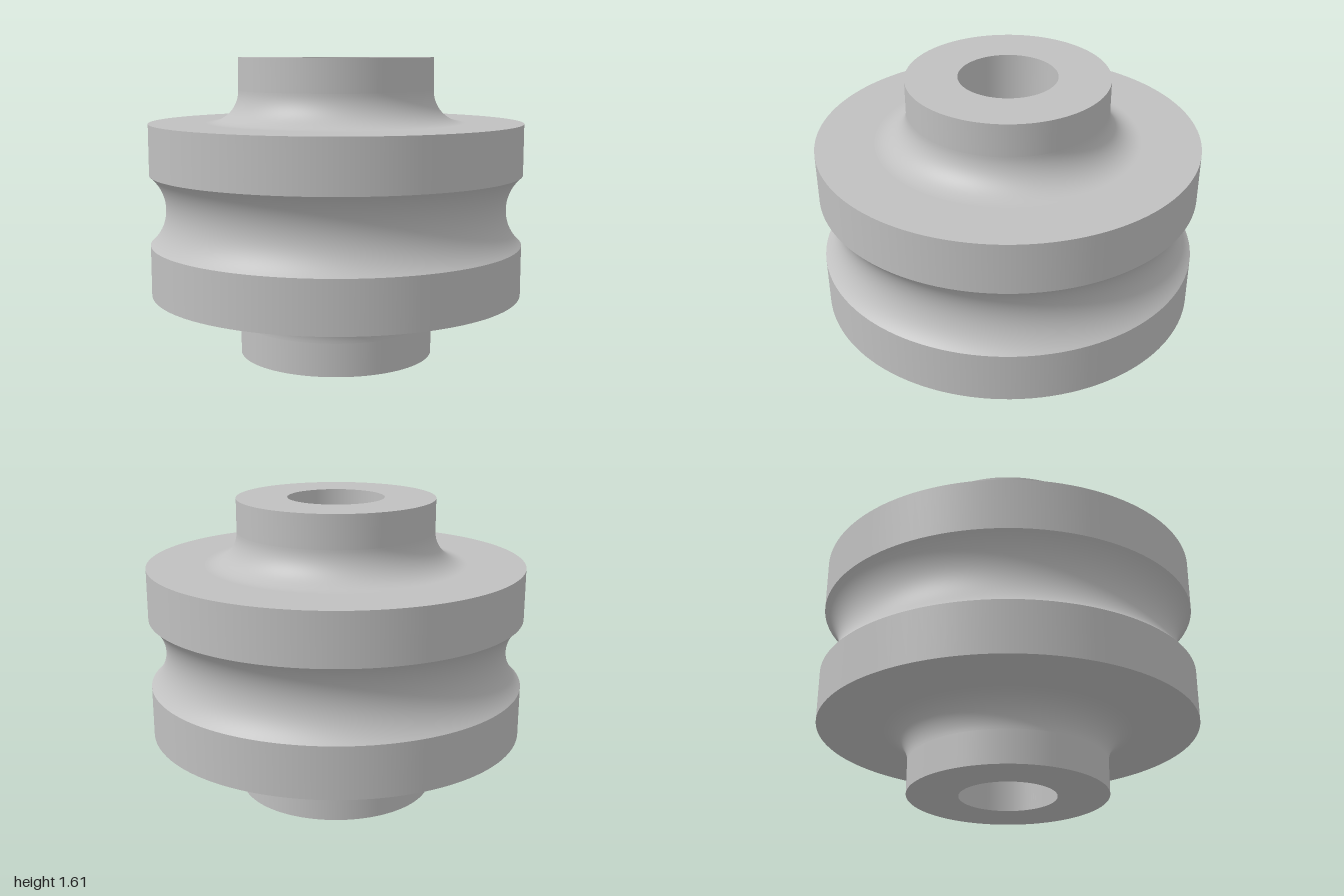
import * as THREE from 'three';

const HEIGHT = 1.605, MID = HEIGHT / 2;
const BORE_R = 0.255, HUB_R = 0.523, RIM_R = 1;
const RIM_TOP = 1.26, RIM_LOW = HEIGHT - RIM_TOP;
const FILLET = 0.17;
const GROOVE_HALF = 0.187, GROOVE_DEPTH = 0.085;

// Points of a circular arc in the profile plane, angles in radians
function arc(cx, cy, r, from, to, steps) {
  return Array.from({ length: steps + 1 }, (_, i) => {
    const a = from + (to - from) * i / steps;
    return [cx + r * Math.cos(a), cy + r * Math.sin(a)];
  });
}

export function createModel() {
  const group = new THREE.Group();
  const metal = new THREE.MeshStandardMaterial({ color: 0xc0c0c0 });
  metal.name = 'greyMetal';

  // Each smooth band is its own lathe, so the edges between bands stay sharp
  function band(name, points) {
    const profile = points.map(([x, y]) => new THREE.Vector2(x, y));
    const mesh = new THREE.Mesh(new THREE.LatheGeometry(profile, 128), metal);
    mesh.name = name;
    group.add(mesh);
  }

  const PI = Math.PI;
  const filletX = HUB_R + FILLET;

  // Lower hub, blended into the underside of the wheel
  band('lowerHubEnd', [[BORE_R, 0], [HUB_R, 0]]);
  band('lowerHubWall', [[HUB_R, 0], [HUB_R, RIM_LOW - FILLET]]);
  band('lowerFillet', arc(filletX, RIM_LOW - FILLET, FILLET, PI, PI / 2, 24));
  band('wheelUnderside', [[filletX, RIM_LOW], [RIM_R, RIM_LOW]]);

  // Rim with a round groove between its two flanges
  const grooveR = (GROOVE_HALF ** 2 + GROOVE_DEPTH ** 2) / (2 * GROOVE_DEPTH);
  const half = Math.asin(GROOVE_HALF / grooveR);
  const grooveX = RIM_R - GROOVE_DEPTH + grooveR;
  band('lowerRim', [[RIM_R, RIM_LOW], [RIM_R, MID - GROOVE_HALF]]);
  band('groove', arc(grooveX, MID, grooveR, PI + half, PI - half, 32));
  band('upperRim', [[RIM_R, MID + GROOVE_HALF], [RIM_R, RIM_TOP]]);

  // Upper hub
  band('wheelTop', [[RIM_R, RIM_TOP], [filletX, RIM_TOP]]);
  band('upperFillet', arc(filletX, RIM_TOP + FILLET, FILLET, 1.5 * PI, PI, 24));
  band('upperHubWall', [[HUB_R, RIM_TOP + FILLET], [HUB_R, HEIGHT]]);
  band('upperHubEnd', [[HUB_R, HEIGHT], [BORE_R, HEIGHT]]);

  // Bore through the axle
  band('bore', [[BORE_R, HEIGHT], [BORE_R, 0]]);

  return group;
}
